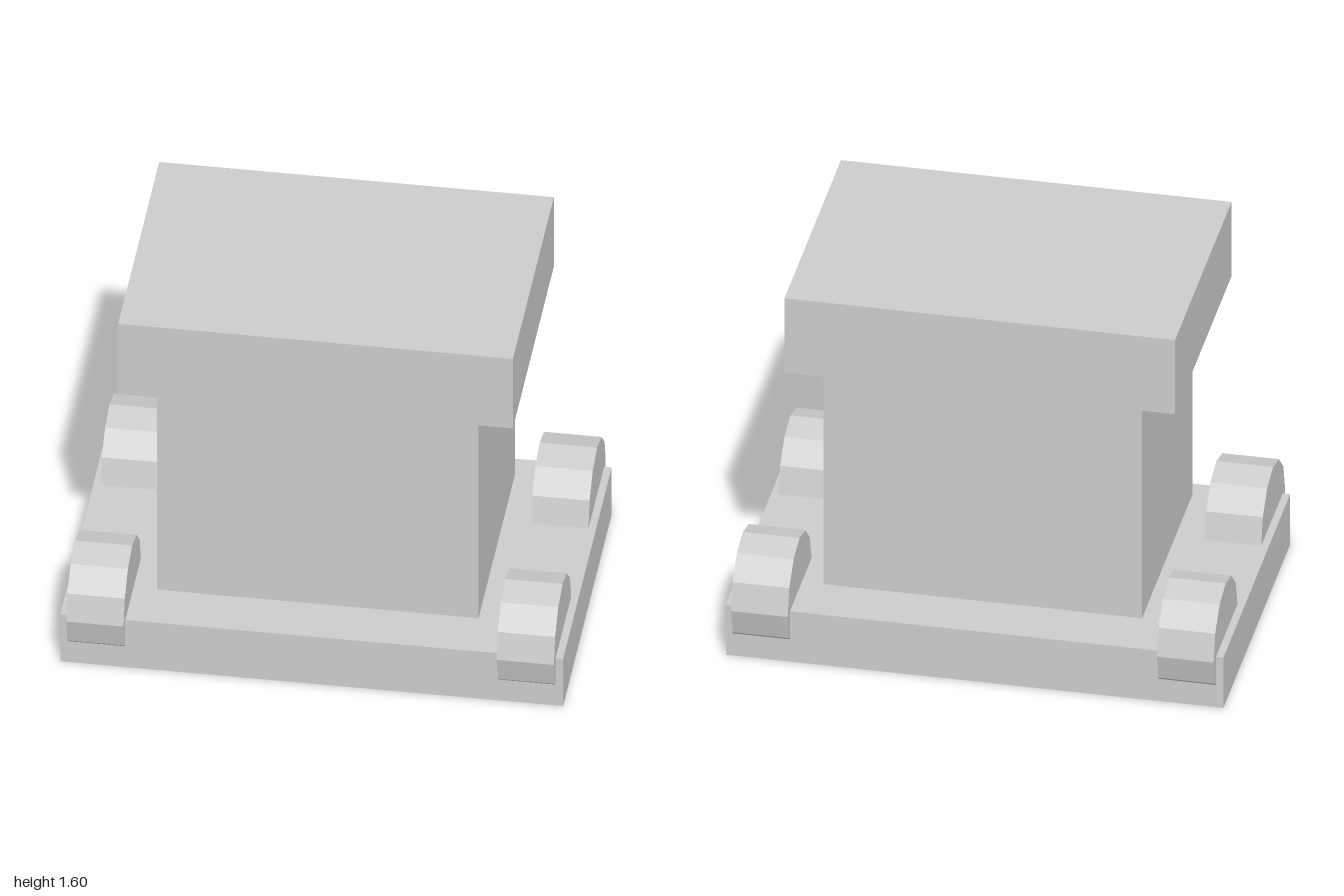
import * as THREE from 'three';

export function createModel() {
  const model = new THREE.Group();
  model.name = 'wheeledCart';

  const grey = new THREE.MeshStandardMaterial({ color: 0xcccccc, flatShading: true });
  grey.name = 'light grey';

  // Box resting on a given height
  function addBox(name, width, depth, bottom, top) {
    const mesh = new THREE.Mesh(new THREE.BoxGeometry(width, top - bottom, depth), grey);
    mesh.name = name;
    mesh.position.y = (bottom + top) / 2;
    model.add(mesh);
  }

  addBox('base', 2, 1.285, 0, 0.23);
  addBox('body', 1.28, 0.97, 0.275, 1.26);
  addBox('lid', 1.57, 1.085, 1.26, 1.6);

  // Twelve-sided wheels sunk into the base corners
  const radius = 0.229;
  const wheelGeometry = new THREE.CylinderGeometry(radius, radius, 0.228, 12);
  wheelGeometry.rotateZ(Math.PI / 2);
  for (const [side, x] of [['Left', 0.856], ['Right', -0.856]]) {
    for (const [end, z] of [['front', 0.457], ['back', -0.457]]) {
      const wheel = new THREE.Mesh(wheelGeometry, grey);
      wheel.name = `${end}${side}Wheel`;
      wheel.position.set(x, radius, z);
      model.add(wheel);
    }
  }

  return model;
}
